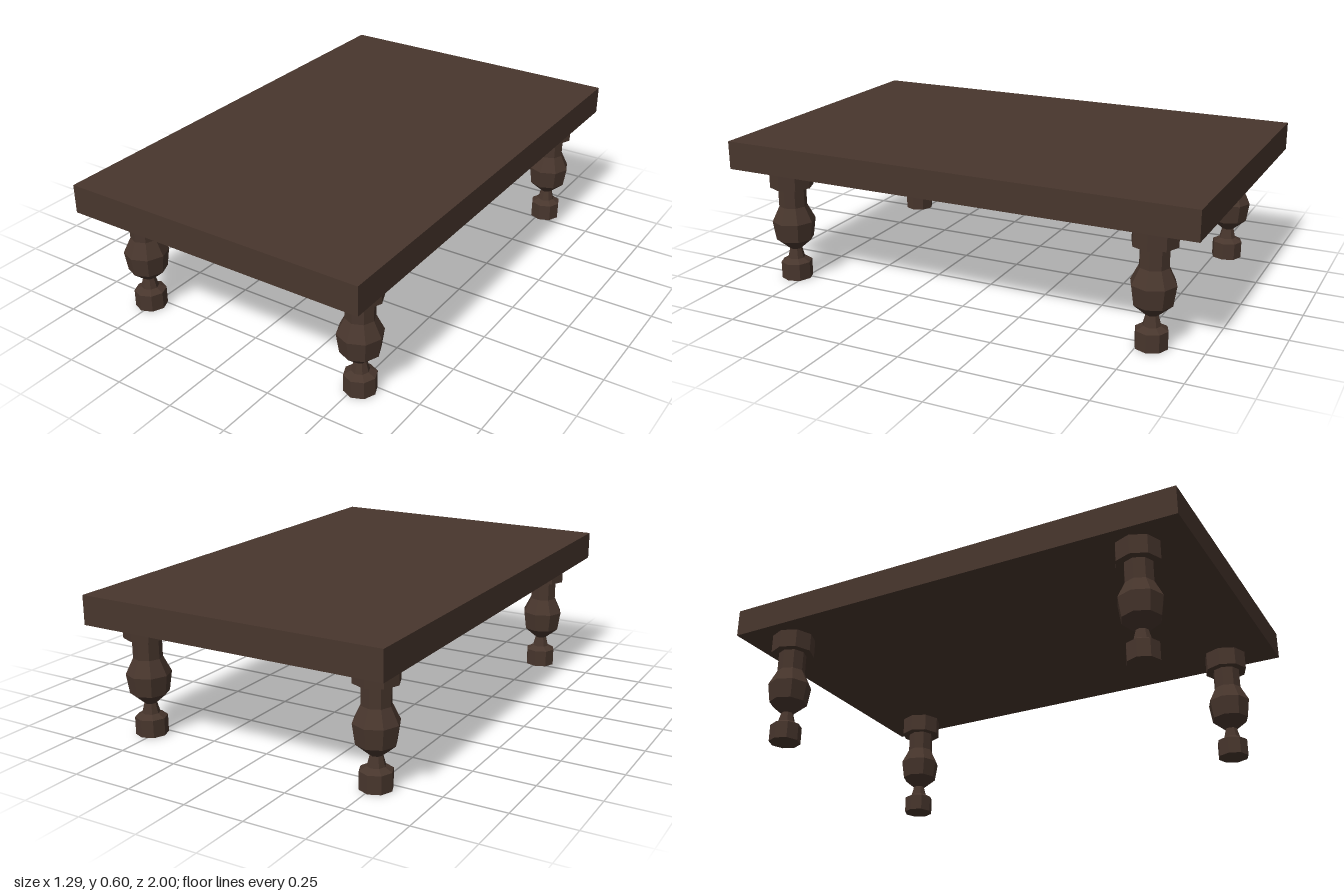
import * as THREE from 'three';

export function createModel() {
  const group = new THREE.Group();
  const darkWood = new THREE.MeshStandardMaterial({ color: 0x48362d, flatShading: true });
  darkWood.name = 'darkWood';

  // Thick slab top
  const top = new THREE.Mesh(new THREE.BoxGeometry(1.295, 0.118, 2), darkWood);
  top.name = 'tableTop';
  top.position.y = 0.543;
  group.add(top);

  // Turned leg profile: [radius, height] from foot to top block
  const profile = [
    [0, 0], [0.065, 0], [0.065, 0.072], [0.036, 0.088], [0.025, 0.13],
    [0.078, 0.175], [0.09, 0.255], [0.058, 0.32], [0.058, 0.405],
    [0.09, 0.405], [0.09, 0.484], [0, 0.484],
  ].map(([r, y]) => new THREE.Vector2(r, y));
  const legGeometry = new THREE.LatheGeometry(profile, 8);

  // One eight-sided leg near each corner
  for (const [x, side] of [[-0.51, 'Right'], [0.52, 'Left']]) {
    for (const [z, end] of [[0.79, 'front'], [-0.8, 'back']]) {
      const leg = new THREE.Mesh(legGeometry, darkWood);
      leg.name = `${end}${side}Leg`;
      leg.position.set(x, 0, z);
      group.add(leg);
    }
  }
  return group;
}
